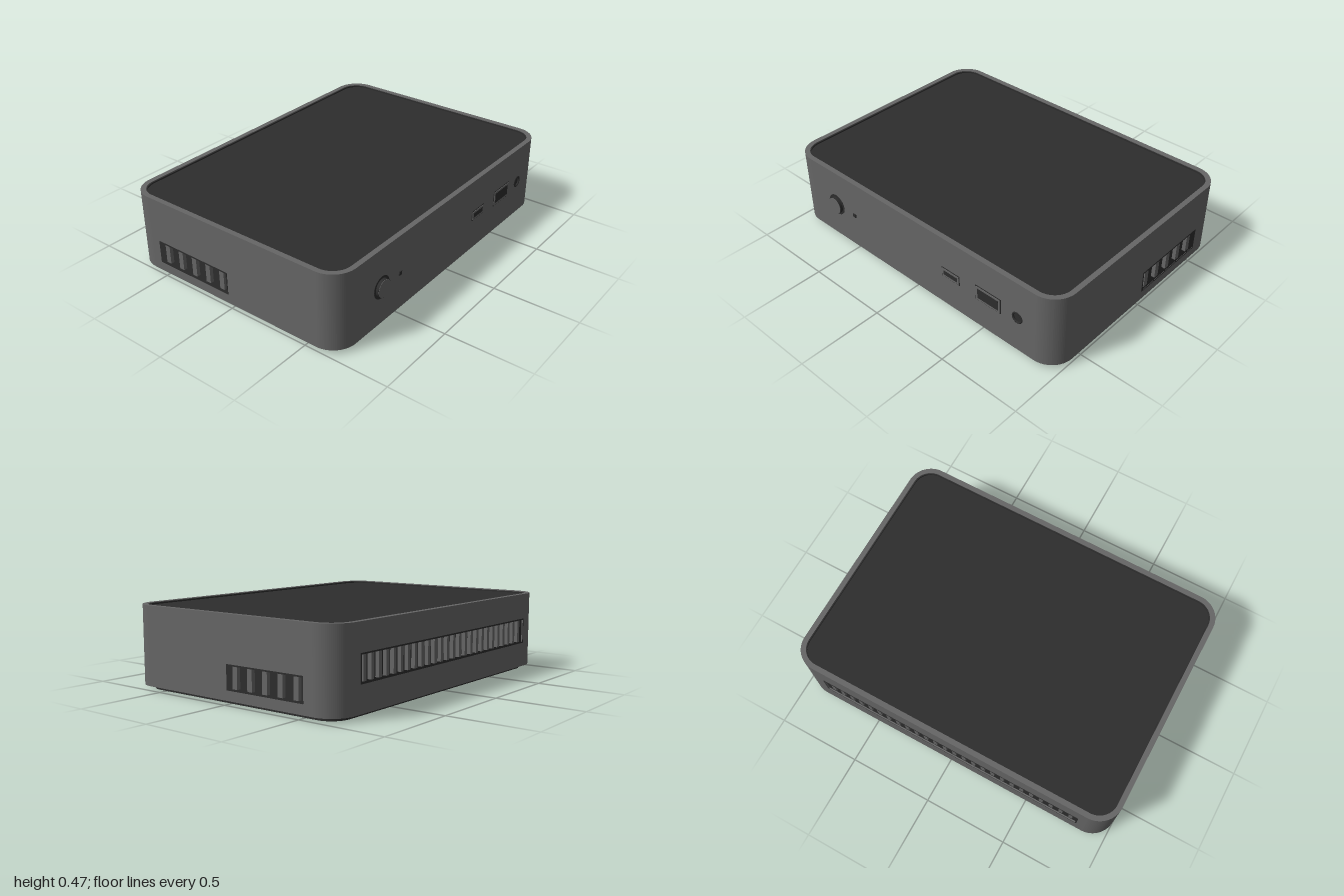
import * as THREE from 'three';

const HALF_X = 1, HALF_Z = 0.72, R = 0.14, T = 0.03; // shell half sizes, corner radius, wall thickness
const BOTTOM = 0.025, WALL_Y = 0.035, TOP = 0.47;

const mat = (name, color) => new THREE.MeshStandardMaterial({ name, color });

// Rounded rectangle outline
function roundedRect(hx, hy, r, cx = 0, cy = 0, Type = THREE.Shape) {
  const s = new Type();
  const q = Math.PI / 2;
  s.absarc(cx + hx - r, cy + hy - r, r, 0, q);
  s.absarc(cx - hx + r, cy + hy - r, r, q, 2 * q);
  s.absarc(cx - hx + r, cy - hy + r, r, 2 * q, 3 * q);
  s.absarc(cx + hx - r, cy - hy + r, r, 3 * q, 4 * q);
  s.closePath();
  return s;
}

const rect = (x0, x1, y0, y1) => [[x0, y0], [x0, y1], [x1, y1], [x1, y0]].map(p => new THREE.Vector2(...p));

function extrude(shape, depth) {
  return new THREE.ExtrudeGeometry(shape, { depth, bevelEnabled: false, curveSegments: 12 });
}

function add(parent, name, geometry, material, x = 0, y = 0, z = 0) {
  const m = new THREE.Mesh(geometry, material);
  m.name = name;
  m.position.set(x, y, z);
  parent.add(m);
  return m;
}

// Horizontal slab between two heights
function slab(parent, name, shape, y0, y1, material) {
  return add(parent, name, extrude(shape, y1 - y0).rotateX(-Math.PI / 2), material, 0, y0, 0);
}

// Rectangular border, from z0 to z1 in wall space
function frame(parent, name, [x0, x1, y0, y1], border, z0, z1, material) {
  const s = new THREE.Shape(rect(x0, x1, y0, y1));
  s.holes.push(new THREE.Path(rect(x0 + border, x1 - border, y0 + border, y1 - border)));
  add(parent, name, extrude(s, z1 - z0), material, 0, 0, z0);
}

// Side panel whose outer face is local z = 0, with openings cut through
function wall(parent, name, half, dist, angle, holes, material) {
  const g = new THREE.Group();
  g.name = name;
  g.rotation.y = angle;
  g.position.set(Math.sin(angle) * dist, 0, Math.cos(angle) * dist);
  const s = new THREE.Shape(rect(-half, half, WALL_Y, TOP));
  for (const h of holes) s.holes.push(Array.isArray(h) ? new THREE.Path(rect(...h)) : h);
  add(g, name + 'Panel', extrude(s, T), material, 0, 0, -T);
  parent.add(g);
  return g;
}

// Dark lined opening with evenly spaced upright slats
function vent(parent, box, firstX, pitch, count, width, dark, grey) {
  frame(parent, 'ventFrame', box, 0.008, -T, 0.002, dark);
  const h = box[3] - box[2] - 0.016;
  for (let i = 0; i < count; i++) {
    add(parent, 'ventSlat', new THREE.BoxGeometry(width, h, 0.022), grey,
      firstX + i * pitch, (box[2] + box[3]) / 2, -0.019);
  }
}

function disc(parent, name, r, z0, z1, x, y, material) {
  const g = new THREE.CylinderGeometry(r, r, z1 - z0, 32).rotateX(Math.PI / 2);
  return add(parent, name, g, material, x, y, (z0 + z1) / 2);
}

export function createModel() {
  const grey = mat('shell grey', 0x666666);
  const dark = mat('charcoal', 0x2d2d2d);

  const model = new THREE.Group();
  model.name = 'miniComputer';
  const body = new THREE.Group();
  body.name = 'body';
  body.position.z = -0.01;
  model.add(body);

  // Foot, shell floor and the dark core that forms the sunken lid
  slab(body, 'foot', roundedRect(0.95, 0.672, 0.11), 0, BOTTOM, dark);
  slab(body, 'shellFloor', roundedRect(HALF_X, HALF_Z, R), BOTTOM, WALL_Y, grey);
  slab(body, 'lid', roundedRect(HALF_X - T, HALF_Z - T, R - T), WALL_Y, TOP - 0.012, dark);

  // Rounded shell corners
  for (let i = 0; i < 4; i++) {
    const sx = i === 0 || i === 3 ? 1 : -1, sy = i < 2 ? 1 : -1;
    const a = i * Math.PI / 2, b = a + Math.PI / 2;
    const cx = sx * (HALF_X - R), cy = sy * (HALF_Z - R);
    const s = new THREE.Shape();
    s.absarc(cx, cy, R, a, b, false);
    s.absarc(cx, cy, R - T, b, a, true);
    s.closePath();
    slab(body, 'shellCorner', s, WALL_Y, TOP, grey);
  }

  // Thin dark seam round the lid
  const seam = roundedRect(HALF_X - T + 0.002, HALF_Z - T + 0.002, R - T + 0.002);
  seam.holes.push(roundedRect(HALF_X - T - 0.006, HALF_Z - T - 0.006, R - T - 0.006, 0, 0, THREE.Path));
  slab(body, 'lidSeam', seam, TOP - 0.015, TOP - 0.004, dark);

  // Front wall with ports
  const smallPort = [0.22, 0.35, 0.215, 0.275];
  const largePort = [0.465, 0.64, 0.2, 0.295];
  const jackHole = new THREE.Path().absarc(0.75, 0.245, 0.034, 0, Math.PI * 2, true);
  const front = wall(body, 'frontWall', HALF_X - R, HALF_Z, 0, [smallPort, largePort, jackHole], grey);
  for (const [name, p] of [['smallPort', smallPort], ['largePort', largePort]]) {
    const [x0, x1, y0, y1] = p;
    frame(front, name + 'Outline', p, 0.005, -T, 0.002, dark);
    frame(front, name + 'Rim', [x0 + 0.005, x1 - 0.005, y0 + 0.005, y1 - 0.005], 0.011, -T, 0.005, grey);
    add(front, name + 'Tongue', new THREE.BoxGeometry(x1 - x0 - 0.06, (y1 - y0) * 0.25, 0.02), dark,
      (x0 + x1) / 2, (y0 + y1) / 2 + 0.004, -0.02);
  }
  add(front, 'audioJack', new THREE.TorusGeometry(0.03, 0.006, 8, 32), dark, 0.75, 0.245, -0.002);

  // Power button and indicator
  disc(front, 'buttonRing', 0.065, -0.01, 0.002, -0.65, 0.245, dark);
  disc(front, 'powerButton', 0.052, 0, 0.018, -0.65, 0.245, dark);
  disc(front, 'buttonFace', 0.05, 0.016, 0.02, -0.65, 0.245, grey);
  add(front, 'indicator', new THREE.BoxGeometry(0.022, 0.022, 0.012), dark, -0.49, 0.245, 0);

  // Side walls, vents toward the back
  for (const side of [1, -1]) {
    const box = side > 0 ? [0.01, 0.52, 0.08, 0.215] : [-0.52, -0.01, 0.08, 0.215];
    const w = wall(body, side > 0 ? 'leftWall' : 'rightWall', HALF_Z - R, HALF_X, side * Math.PI / 2, [box], grey);
    vent(w, box, side * 0.06, side * 0.102, 5, 0.032, dark, grey);
  }

  // Back wall with one long vent
  const backBox = [-0.82, 0.82, 0.17, 0.32];
  const back = wall(body, 'backWall', HALF_X - R, HALF_Z, Math.PI, [backBox], grey);
  vent(back, backBox, -0.775, 0.062, 26, 0.024, dark, grey);

  return model;
}
